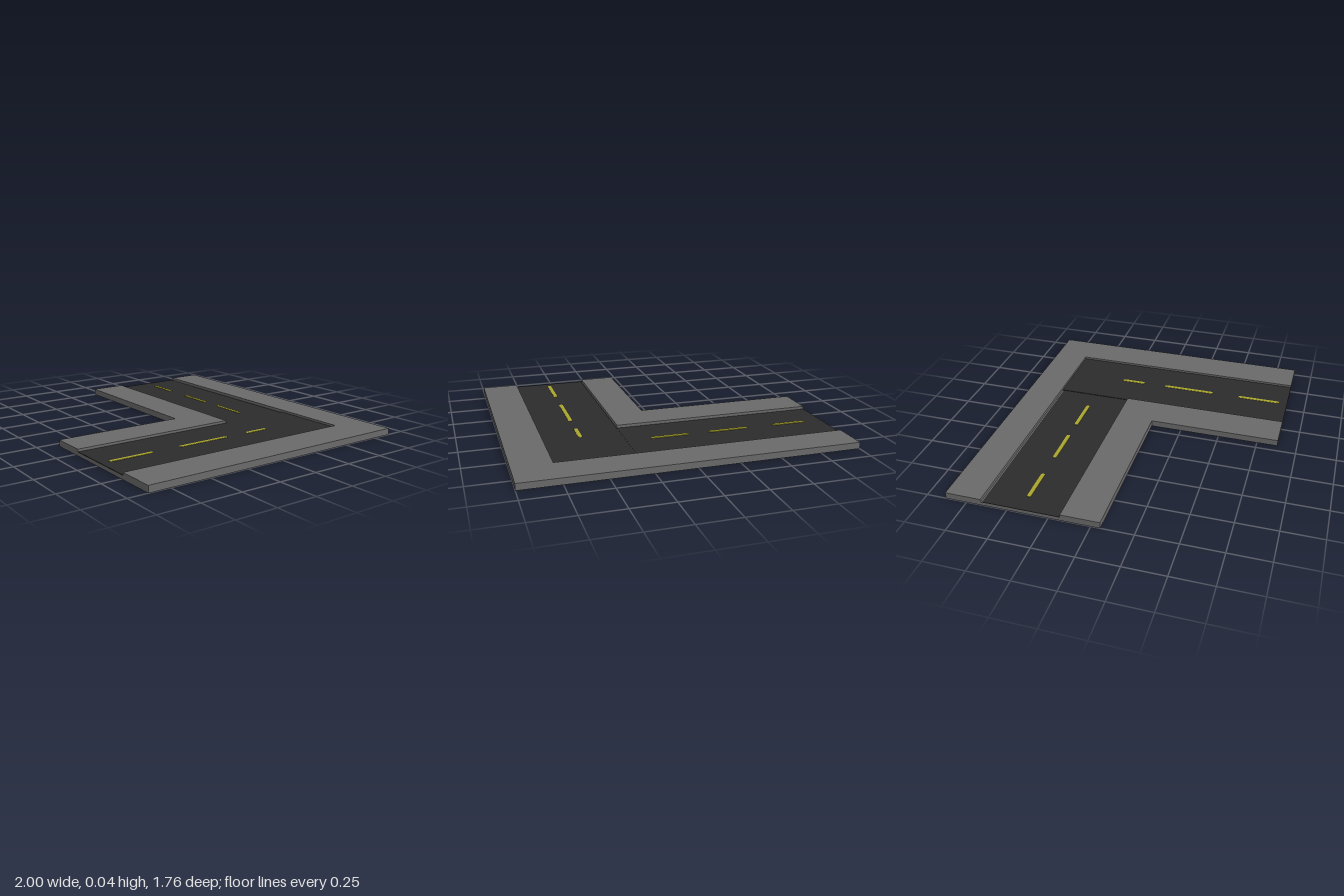
import * as THREE from 'three';

const mat = (name, color, extra = {}) => Object.assign(new THREE.MeshStandardMaterial({ color, ...extra }), { name });

export function createModel() {
  const root = new THREE.Group();
  root.name = 'cornerRoad';
  const concrete = mat('concrete', 0x6a6a6a);
  const asphalt = mat('asphalt', 0x2c2c2c);
  const paint = mat('yellowPaint', 0xaaa52e);

  // Flat slab from plan points [x, z], between two heights
  const slab = (name, material, points, y0, y1) => {
    const shape = new THREE.Shape(points.map(([x, z]) => new THREE.Vector2(x, -z)));
    const geo = new THREE.ExtrudeGeometry(shape, { depth: y1 - y0, bevelEnabled: false });
    geo.rotateX(-Math.PI / 2);
    const mesh = new THREE.Mesh(geo, material);
    mesh.name = name;
    mesh.position.y = y0;
    root.add(mesh);
  };
  const rect = (x0, x1, z0, z1) => [[x0, z0], [x0, z1], [x1, z1], [x1, z0]];

  // Foundation under the whole bend
  slab('foundation', concrete,
    [[-1, -0.88], [-1, 0.055], [0.055, 0.055], [0.055, 0.88], [1, 0.88], [1, -0.88]], 0, 0.021);

  // Raised pavements: outer and inner corners
  slab('outerPavement', concrete,
    [[-1, -0.88], [-1, -0.66], [0.765, -0.66], [0.765, 0.88], [1, 0.88], [1, -0.88]], 0.021, 0.04);
  slab('innerPavement', concrete,
    [[-1, -0.18], [-1, 0.055], [0.055, 0.055], [0.055, 0.88], [0.282, 0.88], [0.282, -0.18]], 0.021, 0.04);

  // Two asphalt strips meeting at the corner
  slab('sideRoad', asphalt, rect(-1, 0.285, -0.65, -0.187), 0.021, 0.024);
  slab('mainRoad', asphalt, rect(0.287, 0.765, -0.66, 0.88), 0.021, 0.026);

  // Lane dashes with rounded ends
  const dash = (length, x, z, alongX) => {
    const r = 0.012, h = length / 2 - r;
    const shape = new THREE.Shape();
    shape.absarc(h, 0, r, -Math.PI / 2, Math.PI / 2, false);
    shape.absarc(-h, 0, r, Math.PI / 2, Math.PI * 1.5, false);
    const geo = new THREE.ExtrudeGeometry(shape, { depth: 0.004, bevelEnabled: false, curveSegments: 6 });
    geo.rotateX(-Math.PI / 2);
    const mesh = new THREE.Mesh(geo, paint);
    mesh.name = 'laneDash';
    mesh.position.set(x, 0.024, z);
    if (!alongX) mesh.rotation.y = Math.PI / 2;
    root.add(mesh);
  };
  for (const [a, b] of [[-0.885, -0.66], [-0.49, -0.235], [-0.11, 0.135]]) dash(b - a, (a + b) / 2, -0.415, true);
  for (const [a, b] of [[-0.29, -0.13], [0.018, 0.365], [0.545, 0.825]]) dash(b - a, 0.535, (a + b) / 2, false);

  return root;
}
